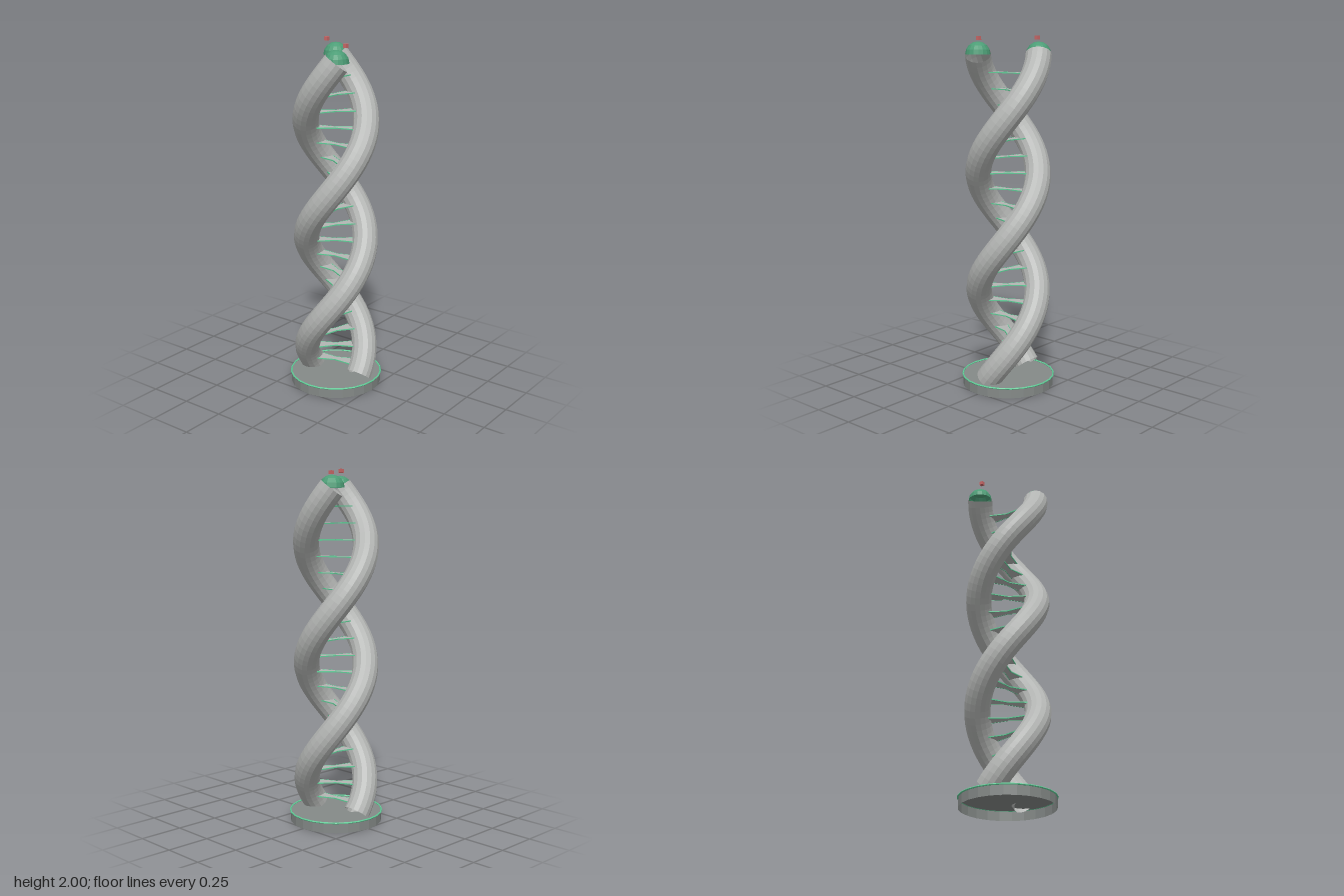
import * as THREE from 'three';

const mat = (name, color, double = true) => {
  const m = new THREE.MeshStandardMaterial({ color, flatShading: true });
  m.name = name;
  if (double) m.side = THREE.DoubleSide;
  return m;
};

// Helix dimensions
const RADIUS = 0.167, TUBE = 0.073, Y0 = 0.07, Y1 = 1.9;
const angleAt = (y) => ((y - 0.41) / 0.675) * Math.PI;
const helixPoint = (y, turn) => new THREE.Vector3(
  RADIUS * Math.sin(angleAt(y) + turn), y, RADIUS * Math.cos(angleAt(y) + turn));

class Helix extends THREE.Curve {
  constructor(turn) { super(); this.turn = turn; }
  getPoint(t, target = new THREE.Vector3()) {
    return target.copy(helixPoint(Y0 + (Y1 - Y0) * t, this.turn));
  }
}

export function createModel() {
  const root = new THREE.Group();
  root.name = 'doubleHelixTower';
  const shell = mat('light grey', 0xb4b6b4);
  const stone = mat('dark grey', 0x858a88);
  const green = mat('dome green', 0x4c9d76);
  const trim = mat('bright green', 0x62cc98);
  const red = mat('beacon red', 0xcc6a6a);

  const add = (parent, name, geometry, material, x = 0, y = 0, z = 0) => {
    const mesh = new THREE.Mesh(geometry, material);
    mesh.name = name;
    mesh.position.set(x, y, z);
    parent.add(mesh);
    return mesh;
  };

  // Hollow base: wall, top plate and bright rim
  add(root, 'baseWall', new THREE.CylinderGeometry(0.263, 0.263, 0.055, 24, 1, true), stone, 0, 0.0275, 0);
  add(root, 'baseTop', new THREE.CircleGeometry(0.263, 24).rotateX(-Math.PI / 2), stone, 0, 0.055, 0);
  add(root, 'baseRim', new THREE.TorusGeometry(0.264, 0.005, 6, 24).rotateX(Math.PI / 2), trim, 0, 0.057, 0);

  // Two strands, each with a dome and a beacon
  const domeGeo = new THREE.SphereGeometry(0.07, 16, 4, 0, Math.PI * 2, 0, Math.PI / 2);
  const beaconGeo = new THREE.BoxGeometry(0.021, 0.021, 0.021);
  [0, Math.PI].forEach((turn, i) => {
    const strand = new THREE.Group();
    strand.name = i ? 'backStrand' : 'frontStrand';
    add(strand, 'strandTube', new THREE.TubeGeometry(new Helix(turn), 64, TUBE, 16, false), shell);
    const end = helixPoint(Y1, turn);
    add(strand, 'dome', domeGeo, green, end.x, end.y, end.z);
    const side = i ? -1 : 1;
    add(strand, 'beacon', beaconGeo, red, side * 0.135, 1.9895, side * 0.096);
    root.add(strand);
  });

  // Bow-tie floor plate, long along z, with trim on its kinked sides
  const HALF = 0.102, END = 0.04, WAIST = 0.018, THICK = 0.004;
  const outline = new THREE.Shape([
    [-END, -HALF], [END, -HALF], [WAIST, 0], [END, HALF], [-END, HALF], [-WAIST, 0],
  ].map(([x, z]) => new THREE.Vector2(x, z)));
  const plateGeo = new THREE.ExtrudeGeometry(outline, { depth: THICK, bevelEnabled: false });
  plateGeo.rotateX(-Math.PI / 2).translate(0, -THICK / 2, 0);
  const trimGeo = new THREE.BoxGeometry(0.004, 0.006, Math.hypot(HALF, END - WAIST));
  const slant = Math.atan2(END - WAIST, HALF);

  const COUNT = 19;
  for (let i = 0; i < COUNT; i++) {
    const y = 0.125 + (1.675 * i) / (COUNT - 1);
    const rung = new THREE.Group();
    rung.name = 'rung' + (i + 1);
    rung.position.y = y;
    rung.rotation.y = angleAt(y);
    add(rung, 'rungPlate', plateGeo, shell);
    for (const sx of [-1, 1]) {
      for (const sz of [-1, 1]) {
        const strip = add(rung, 'rungTrim', trimGeo, trim, sx * (END + WAIST) / 2, 0, sz * HALF / 2);
        strip.rotation.y = sx * sz * slant;
      }
    }
    root.add(rung);
  }
  return root;
}
